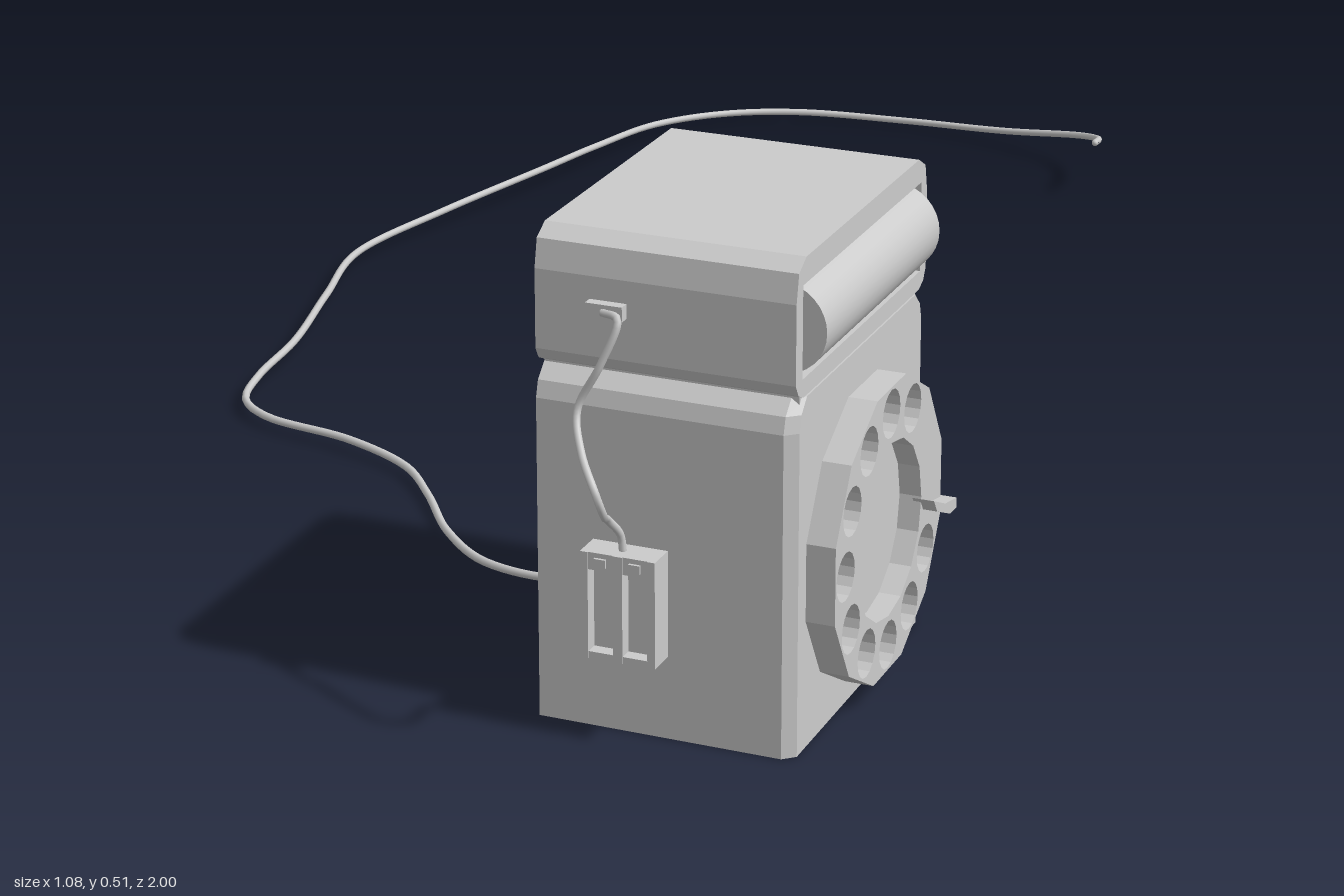
import * as THREE from 'three';

const mat = new THREE.MeshStandardMaterial({ color: 0xcccccc, flatShading: true });
const smooth = new THREE.MeshStandardMaterial({ color: 0xcccccc });
const V = (p) => new THREE.Vector3(...p);

export function createModel() {
  const model = new THREE.Group();
  const add = (name, geo, m = mat) => {
    const mesh = new THREE.Mesh(geo, m);
    mesh.name = name;
    model.add(mesh);
    return mesh;
  };
  const box = (name, x0, x1, y0, y1, z0, z1) =>
    add(name, new THREE.BoxGeometry(x1 - x0, y1 - y0, z1 - z0)
      .translate((x0 + x1) / 2, (y0 + y1) / 2, (z0 + z1) / 2));
  // Side outlines are drawn as (-z, y) and pushed along +x
  const extrudeX = (shape, x0, x1, steps = 1, curveSegments = 8) =>
    new THREE.ExtrudeGeometry(shape, { depth: x1 - x0, steps, curveSegments, bevelEnabled: false })
      .rotateY(Math.PI / 2).translate(x0, 0, 0);
  const midZ = 0.735;
  // Symmetric outline from half-widths and heights
  const symmetric = (pts) => new THREE.Shape([
    ...pts.map(([w, y]) => new THREE.Vector2(-midZ + w, y)),
    ...pts.slice().reverse().map(([w, y]) => new THREE.Vector2(-midZ - w, y)),
  ]);

  // Lower housing, with the edges of the dial side slightly chamfered
  const x0 = 0.223, x1 = 0.49;
  const body = extrudeX(symmetric([[0.18, 0], [0.18, 0.335], [0.175, 0.352], [0.16, 0.366]]), x0, x1, 2);
  const p = body.attributes.position;
  for (let i = 0; i < p.count; i++) {
    const x = p.getX(i);
    if (x > x1 - 0.001) p.setZ(i, midZ + (p.getZ(i) - midZ) * 0.94);
    else if (x > x0 + 0.001) p.setX(i, 0.478);
  }
  body.computeVertexNormals();
  add('lowerHousing', body);
  box('neck', x0, x1 - 0.004, 0.36, 0.375, midZ - 0.16, midZ + 0.16);

  // Upper housing with a recess for the roll
  const headPts = [[0.16, 0.368], [0.173, 0.374], [0.18, 0.386], [0.18, 0.467], [0.174, 0.496], [0.155, 0.507]];
  add('upperHousing', extrudeX(symmetric(headPts), x0, 0.465));
  const face = symmetric(headPts);
  face.holes.push(symmetric([[0.163, 0.387], [0.163, 0.481]]));
  add('recessedFace', extrudeX(face, 0.465, x1));
  add('roll', new THREE.CylinderGeometry(0.046, 0.046, 0.314, 32).rotateX(Math.PI / 2)
    .translate(0.466, 0.434, midZ), smooth);

  // Twelve-sided dial ring with ten finger holes
  const polar = (r, deg) => {
    const a = THREE.MathUtils.degToRad(deg);
    return new THREE.Vector2(-0.733 + r * Math.cos(a), 0.174 + r * Math.sin(a));
  };
  const ring = new THREE.Shape(Array.from({ length: 12 }, (_, i) => polar(0.156, 15 + i * 30)));
  const cut = (c, r) => ring.holes.push(new THREE.Path().absarc(c.x, c.y, r, 0, Math.PI * 2, true));
  cut(polar(0, 0), 0.092);
  for (let i = 0; i < 10; i++) cut(polar(0.123, 60 + i * 30), 0.025);
  add('dialRing', extrudeX(ring, 0.488, 0.52));
  const disc = new THREE.Shape().absarc(-0.733, 0.174, 0.093, 0, Math.PI * 2);
  add('dialCentre', extrudeX(disc, 0.488, 0.497, 1, 16));

  // Finger stop
  const stop = new THREE.Shape([[-0.645, 0.173], [-0.635, 0.158], [-0.595, 0.14], [-0.575, 0.139],
    [-0.575, 0.15], [-0.61, 0.157]].map((q) => new THREE.Vector2(...q)));
  add('fingerStop', extrudeX(stop, 0.512, 0.535));

  // Holder on the front: back plate, rims, divider and clips
  box('holderBack', 0.282, 0.36, 0.087, 0.198, 0.914, 0.932);
  for (const [a, b] of [[0.282, 0.29], [0.316, 0.326], [0.352, 0.36]])
    box('holderUpright', a, b, 0.087, 0.198, 0.93, 0.947);
  for (const [a, b] of [[0.087, 0.094], [0.18, 0.198]])
    box('holderRail', 0.282, 0.36, a, b, 0.93, 0.946);
  for (const x of [0.303, 0.339]) box('holderClip', x - 0.006, x + 0.006, 0.184, 0.193, 0.944, 0.949);

  // Cords
  const cord = (name, pts, r, n) => {
    const curve = new THREE.CatmullRomCurve3(pts.map(V));
    add(name, new THREE.TubeGeometry(curve, n, r, 8), smooth);
    for (const q of [pts[0], pts[pts.length - 1]])
      add(name + 'End', new THREE.SphereGeometry(r, 8, 6).translate(...q), smooth);
  };
  box('cordSocket', 0.28, 0.318, 0.429, 0.444, 0.912, 0.926);
  cord('shortCord', [
    [0.298, 0.436, 0.925], [0.318, 0.435, 0.936], [0.305, 0.392, 0.947], [0.283, 0.345, 0.952],
    [0.297, 0.312, 0.975], [0.32, 0.283, 0.996], [0.325, 0.258, 0.988], [0.313, 0.236, 0.95],
    [0.318, 0.215, 0.932], [0.32, 0.195, 0.93],
  ], 0.004, 64);
  cord('longCord', [
    [0.215, 0.042, 0.645], [0.135, 0.025, 0.657], [0.03, 0.013, 0.625], [-0.05, 0.008, 0.555],
    [-0.115, 0.008, 0.47], [-0.17, 0.011, 0.413], [-0.26, 0.015, 0.375], [-0.38, 0.013, 0.345],
    [-0.43, 0.013, 0.305], [-0.447, 0.017, 0.24], [-0.452, 0.024, 0.143], [-0.495, 0.021, -0.026],
    [-0.537, 0.016, -0.2], [-0.5, 0.021, -0.37], [-0.447, 0.025, -0.566], [-0.426, 0.02, -0.7],
    [-0.394, 0.015, -0.835], [-0.325, 0.012, -0.926], [-0.235, 0.01, -0.977], [-0.087, 0.01, -0.996],
    [0.066, 0.022, -0.97], [0.188, 0.046, -0.92], [0.235, 0.063, -0.865], [0.246, 0.074, -0.815],
  ], 0.0045, 180);
  const grommet = new THREE.CylinderGeometry(0.008, 0.008, 0.012, 12).rotateZ(Math.PI / 2);
  add('cordGrommet', grommet.translate(0.22, 0.042, 0.645), smooth);
  return model;
}
